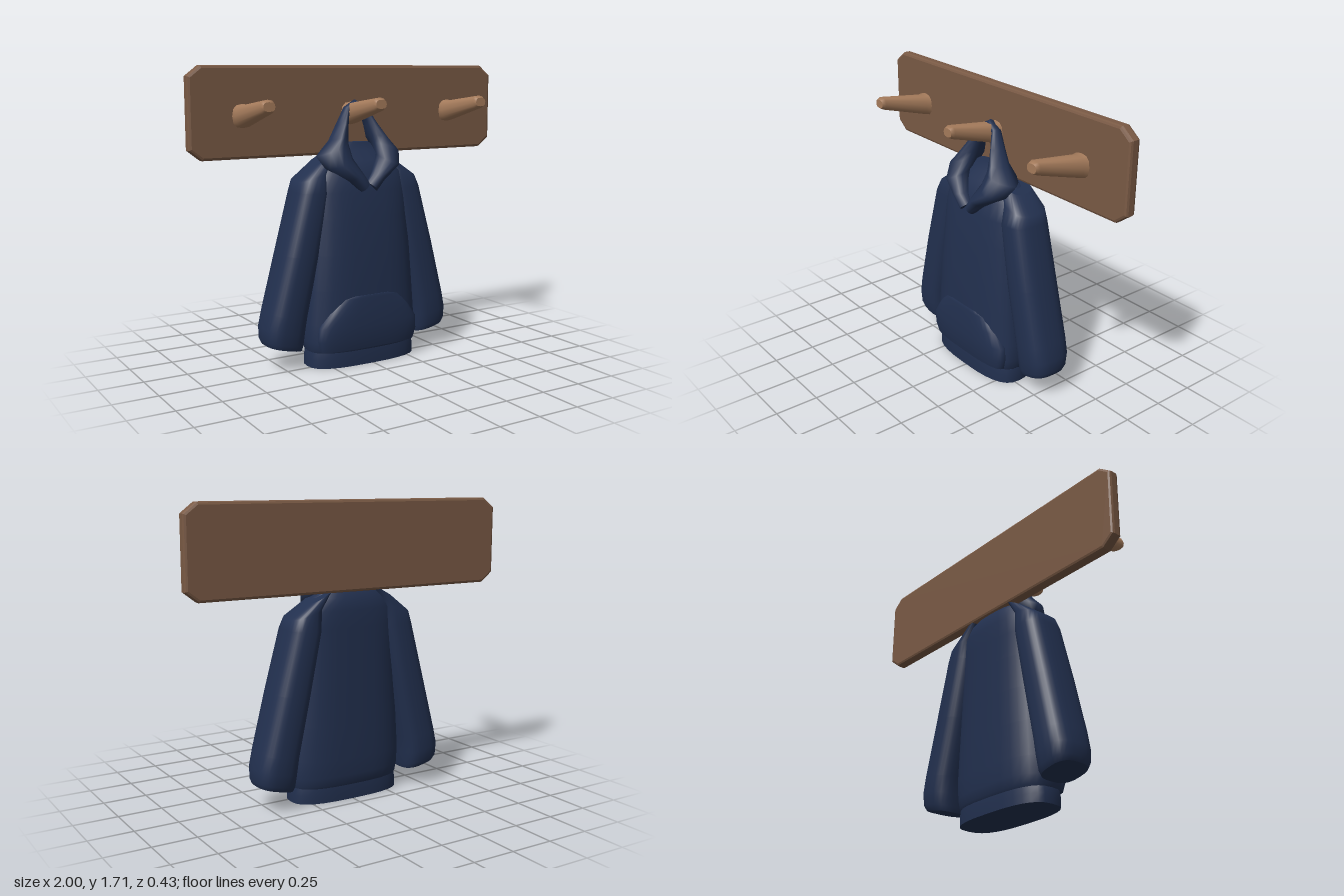
import * as THREE from 'three';

const V = (x, y, z) => new THREE.Vector3(x, y, z);

// Skin a list of equal-sized rings, with separate end caps so the rims stay crisp
function loft(rings) {
  const n = rings[0].length, pos = [], idx = [];
  rings.forEach(r => r.forEach(p => pos.push(p.x, p.y, p.z)));
  for (let i = 0; i < rings.length - 1; i++) {
    for (let j = 0; j < n; j++) {
      const a = i * n + j, b = i * n + (j + 1) % n;
      idx.push(a, a + n, b, b, a + n, b + n);
    }
  }
  [rings[0], rings[rings.length - 1]].forEach((r, end) => {
    const base = pos.length / 3;
    const c = r.reduce((s, p) => s.add(p), V(0, 0, 0)).divideScalar(n);
    [...r, c].forEach(p => pos.push(p.x, p.y, p.z));
    for (let j = 0; j < n; j++) {
      const a = base + j, b = base + (j + 1) % n;
      if (end) idx.push(a, base + n, b);
      else idx.push(a, b, base + n);
    }
  });
  const g = new THREE.BufferGeometry();
  g.setAttribute('position', new THREE.Float32BufferAttribute(pos, 3));
  g.setIndex(idx);
  g.computeVertexNormals();
  return g;
}

// Boxy oval around the unit circle
function oval(count, power, place) {
  const soft = v => Math.sign(v) * Math.pow(Math.abs(v), 2 / power);
  return Array.from({ length: count }, (_, i) => {
    const a = (i / count) * Math.PI * 2;
    return place(soft(Math.cos(a)), soft(Math.sin(a)));
  });
}

// Horizontal cloth ring: centre x, height, half width, front z, back z, tilt
const clothRing = (cx, y, hw, zf, zb, tilt = 0) => oval(28, 2.8, (u, v) =>
  V(cx + u * hw, y + u * hw * tilt, (zf + zb) / 2 + v * (zf - zb) / 2));

export function createModel() {
  const model = new THREE.Group();
  const boardWood = new THREE.MeshStandardMaterial({ color: 0x7a5a45 });
  boardWood.name = 'boardWood';
  const pegWood = new THREE.MeshStandardMaterial({ color: 0xa67c5c });
  pegWood.name = 'pegWood';
  const cloth = new THREE.MeshStandardMaterial({ color: 0x22304f, side: THREE.DoubleSide });
  cloth.name = 'navyCloth';

  const add = (parent, name, geometry, material) => {
    const mesh = new THREE.Mesh(geometry, material);
    mesh.name = name;
    parent.add(mesh);
    return mesh;
  };

  // Wall board with clipped corners and bevelled edges
  const w = 0.985, h = 0.238, cx = 0.065, cy = 0.05;
  const outline = new THREE.Shape([
    [w, -h + cy], [w, h - cy], [w - cx, h], [cx - w, h],
    [-w, h - cy], [-w, cy - h], [cx - w, -h], [w - cx, -h],
  ].map(([x, y]) => new THREE.Vector2(x, y)));
  const board = add(model, 'wallBoard', new THREE.ExtrudeGeometry(outline, {
    depth: 0.033, bevelThickness: 0.016, bevelSize: 0.015, bevelSegments: 2,
  }), boardWood);
  board.position.set(0, 1.452, -0.169);

  // Three tapered pegs rising toward the tip: z, half width, bottom, top
  const pegRows = [
    [-0.13, 0.064, 1.365, 1.5], [-0.09, 0.058, 1.375, 1.495],
    [0.19, 0.042, 1.455, 1.53], [0.212, 0.034, 1.468, 1.518],
  ];
  [-0.69, -0.015, 0.67].forEach((x, i) => {
    const rings = pegRows.map(([z, hw, lo, hi]) => oval(12, 2.6, (u, v) =>
      V(x + u * hw, (lo + hi) / 2 - v * (hi - lo) / 2, z)));
    add(model, ['rightPeg', 'middlePeg', 'leftPeg'][i], loft(rings), pegWood);
  });

  const coat = new THREE.Group();
  coat.name = 'hoodedTop';
  coat.position.x = -0.013;
  model.add(coat);

  // Body from the waist up to the neck: height, half width, front, back
  add(coat, 'body', loft([
    [0.075, 0.335, 0.1, -0.17], [0.1, 0.345, 0.118, -0.187], [0.15, 0.353, 0.125, -0.195],
    [0.25, 0.355, 0.12, -0.2], [0.45, 0.34, 0.115, -0.2], [0.65, 0.325, 0.108, -0.2],
    [0.85, 0.31, 0.09, -0.2], [1.0, 0.31, 0.072, -0.2], [1.1, 0.29, 0.05, -0.2],
    [1.17, 0.23, 0.01, -0.188], [1.22, 0.165, -0.03, -0.155], [1.27, 0.085, -0.05, -0.11],
  ].map(r => clothRing(0, ...r))), cloth);

  // Waistband
  add(coat, 'hem', loft([
    [0, 0.347, 0.11, -0.178], [0.05, 0.348, 0.112, -0.18], [0.09, 0.342, 0.11, -0.178],
  ].map(r => clothRing(0, ...r))), cloth);

  // Front pouch pocket
  add(coat, 'pocket', loft([
    [0.1, 0.31, 0.121, 0], [0.16, 0.325, 0.133, 0], [0.24, 0.32, 0.136, 0],
    [0.32, 0.265, 0.132, 0], [0.395, 0.205, 0.126, 0], [0.41, 0.16, 0.122, 0],
  ].map(r => clothRing(0, ...r))), cloth);

  // Hanging sleeves: centre x, height, half width, front, back, tilt
  const sleeveRows = [
    [0.485, 0.125, 0.105, 0.03, -0.19, 0.22], [0.487, 0.155, 0.115, 0.042, -0.207, 0.2],
    [0.483, 0.225, 0.119, 0.05, -0.218, 0.18], [0.465, 0.32, 0.115, 0.055, -0.22, 0.15],
    [0.385, 0.65, 0.11, 0.056, -0.215, 0.1], [0.302, 1.0, 0.1, 0.046, -0.21, 0.05],
    [0.29, 1.09, 0.094, 0.02, -0.2, -0.3], [0.2, 1.185, 0.07, -0.03, -0.185, -0.55],
  ];
  [1, -1].forEach(s => add(coat, s > 0 ? 'leftSleeve' : 'rightSleeve', loft(
    sleeveRows.map(([x, y, hw, zf, zb, t]) => clothRing(s * x, y, hw, zf, zb, s * t))), cloth));

  // Hood draped over the middle peg: outer, front, inner and back point per section
  const half = [
    [[0.05, 1.0, 0.08], [0.03, 1.02, 0.11], [-0.005, 1.05, 0.075], [0.02, 1.04, 0.03]],
    [[0.12, 1.06, 0.04], [0.09, 1.085, 0.115], [0.035, 1.1, 0.08], [0.07, 1.12, 0.0]],
    [[0.24, 1.135, 0.0], [0.175, 1.15, 0.1], [0.09, 1.19, 0.05], [0.15, 1.2, -0.08]],
    [[0.27, 1.2, -0.05], [0.185, 1.24, 0.06], [0.087, 1.265, 0.0], [0.14, 1.24, -0.13]],
    [[0.185, 1.285, -0.06], [0.15, 1.3, 0.03], [0.08, 1.31, -0.015], [0.1, 1.29, -0.12]],
    [[0.13, 1.37, -0.075], [0.105, 1.375, -0.005], [0.066, 1.365, -0.035], [0.08, 1.36, -0.115]],
    [[0.072, 1.47, -0.08], [0.06, 1.465, -0.045], [0.045, 1.44, -0.06], [0.05, 1.45, -0.118]],
  ];
  const apex = [[0, 1.512, -0.085], [0, 1.5, -0.058], [0, 1.46, -0.07], [0, 1.48, -0.118]];
  const mirrored = half.map(sec => sec.map(([x, y, z]) => [-x, y, z])).reverse();
  const hoodRings = [...half, apex, ...mirrored].map(sec =>
    new THREE.CatmullRomCurve3(sec.map(p => V(...p)), true).getPoints(12).slice(0, 12));
  add(coat, 'hood', loft(hoodRings), cloth);

  return model;
}
